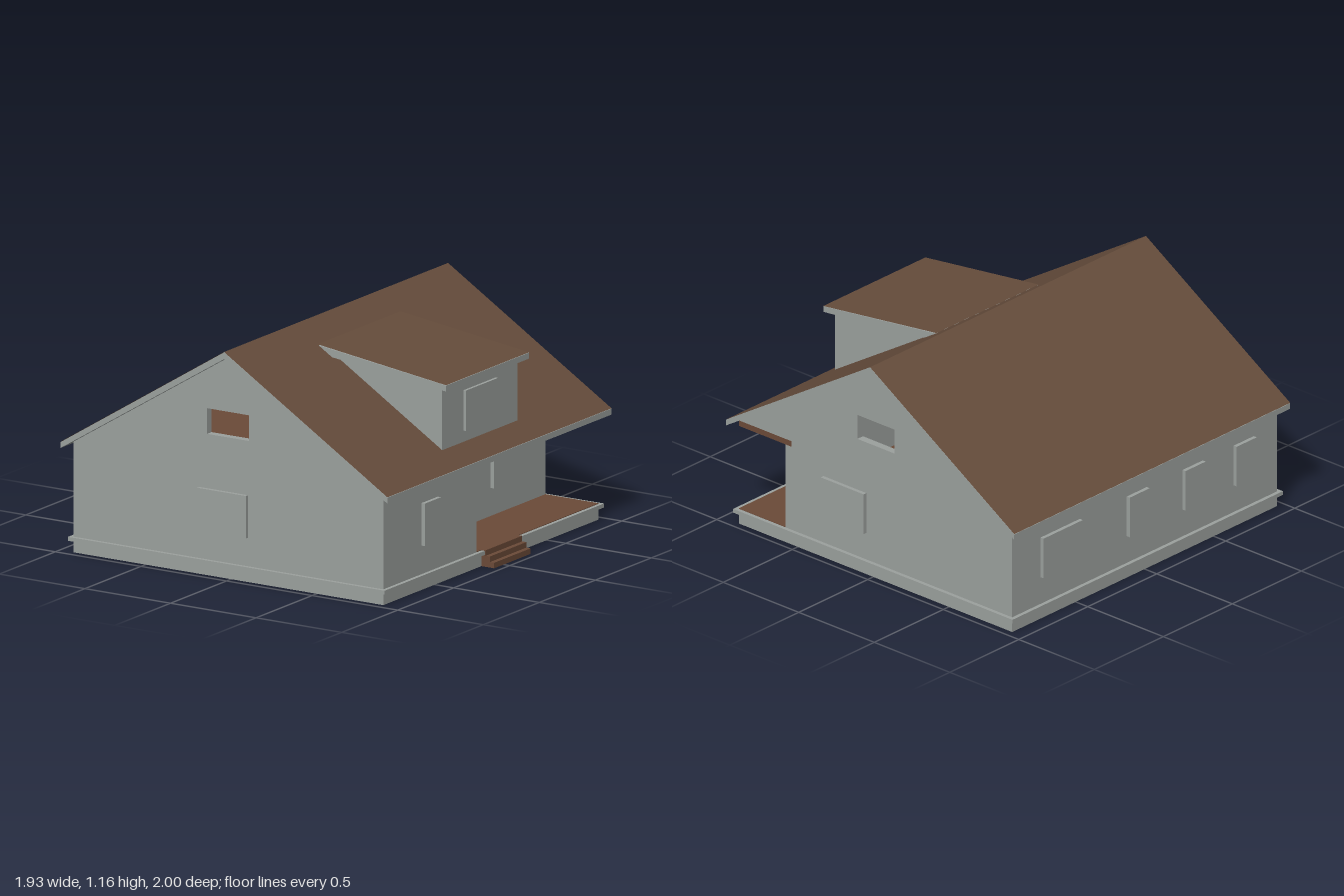
import * as THREE from 'three';

export function createModel() {
  const house = new THREE.Group();
  house.name = 'house';
  const mat = (name, color) => new THREE.MeshStandardMaterial({ name, color });
  const gray = mat('wall gray', 0x9ba09d);
  const roofBrown = mat('roof brown', 0x654c3b);
  roofBrown.side = THREE.DoubleSide;
  const wood = mat('wood brown', 0x6b4a38);

  const add = (name, geometry, material) => {
    const mesh = new THREE.Mesh(geometry, material);
    mesh.name = name;
    house.add(mesh);
    return mesh;
  };
  // box given by its limits on each axis
  const box = (name, material, x0, x1, y0, y1, z0, z1) => {
    const g = new THREE.BoxGeometry(x1 - x0, y1 - y0, z1 - z0);
    g.translate((x0 + x1) / 2, (y0 + y1) / 2, (z0 + z1) / 2);
    return add(name, g, material);
  };
  const points = (list) => list.map(([x, y]) => new THREE.Vector2(x, y));
  // profile in x and y, extruded from z0 to z1
  const prism = (name, material, outline, z0, z1, hole) => {
    const shape = new THREE.Shape(points(outline));
    if (hole) shape.holes.push(new THREE.Path(points(hole)));
    const g = new THREE.ExtrudeGeometry(shape, { depth: z1 - z0, bevelEnabled: false });
    g.translate(0, 0, z0);
    return add(name, g, material);
  };
  // sloping covering between two profile points, spanning z -half to half
  const covering = (name, [xa, ya], [xb, yb], half) => {
    const g = new THREE.PlaneGeometry(1, 1);
    const lift = 0.002;
    [[xa, ya, -half], [xb, yb, -half], [xa, ya, half], [xb, yb, half]]
      .forEach(([x, y, z], i) => g.attributes.position.setXYZ(i, x, y + lift, z));
    g.computeVertexNormals();
    return add(name, g, roofBrown);
  };

  const L = -0.92, R = 0.89, Z = 0.96, T = 0.04;
  const porchX = 0.58, porchZ = 0.13, ridge = -0.015;
  const floorY = 0.08, ceilY = 0.53, atticY = 0.56;

  // foundation, ledge and ground floor
  box('foundation', gray, L, R, 0, 0.06, -Z, Z);
  box('foundationLedge', gray, L - 0.02, R + 0.02, 0.06, floorY, -Z - 0.02, Z + 0.02);
  box('porchFloor', wood, porchX, R, floorY, floorY + 0.003, -Z, porchZ);
  box('groundFloor', wood, L + T, porchX, floorY, floorY + 0.003, -Z + T, Z - T);

  // gable walls with open attic windows
  const atticHole = [[-0.14, 0.715], [-0.14, 0.845], [0.105, 0.845], [0.105, 0.715]];
  const gableTop = [[R, 0.561], [ridge, 1.12], [L, 0.561]];
  prism('frontWall', gray, [[L, floorY], [R, floorY], ...gableTop], Z - T, Z, atticHole);
  prism('backWall', gray,
    [[L, floorY], [porchX, floorY], [porchX, atticY], [R, atticY], ...gableTop], -Z, -Z + T, atticHole);

  // side walls and the recessed porch walls around the doorway
  box('rightSideWall', gray, L, L + T, floorY, atticY, -Z + T, Z - T);
  box('leftSideWall', gray, R - T, R, floorY, atticY, porchZ, Z - T);
  box('porchEndWall', gray, porchX - T, R - T, floorY, ceilY, porchZ, porchZ + T);
  const door = { z0: -0.17, z1: 0.03, top: 0.42 };
  box('porchWall', gray, porchX - T, porchX, floorY, ceilY, -Z + T, door.z0);
  box('porchWall', gray, porchX - T, porchX, floorY, ceilY, door.z1, porchZ);
  box('doorLintel', gray, porchX - T, porchX, door.top, ceilY, door.z0, door.z1);

  // attic floor, porch ceiling and attic partition
  const slab = [wood, wood, wood, gray, wood, wood];
  box('porchCeiling', slab, porchX - T, R, ceilY, atticY, -Z, porchZ);
  box('atticFloor', slab, porchX - T, R - T, ceilY, atticY, porchZ, Z - T);
  box('atticFloor', slab, L + T, 0, ceilY, atticY, -Z + T, Z - T);
  box('atticFloor', slab, 0, porchX - T, ceilY, atticY, -Z + T, -0.085);
  box('atticFloor', slab, 0, porchX - T, ceilY, atticY, 0.03, Z - T);
  box('atticPartition', gray, 0.14, 0.165, atticY, 1.0, -Z + T, Z - T);

  // inner staircase behind the doorway
  for (let i = 0; i < 9; i++) {
    const x = 0.48 - i * 0.053;
    box('stairStep', wood, x - 0.053, x, floorY, floorY + 0.0525 * (i + 1), -0.085, 0.03);
  }

  // porch steps
  for (let i = 0; i < 3; i++) {
    box('porchStep', wood, R - 0.02, 0.965 - i * 0.025, i * 0.028, (i + 1) * 0.028, -0.24, 0.085);
  }

  // window panels, y range shared on the ground floor
  const w0 = 0.225, w1 = 0.44, out = 0.02;
  box('frontWindow', gray, -0.185, 0.1, w0, w1, Z - T - 0.01, Z + out);
  box('backWindow', gray, 0.045, 0.33, w0, w1, -Z - out, -Z + T + 0.01);
  for (const [z0, z1] of [[-0.755, -0.47], [-0.13, 0.015], [0.275, 0.42], [0.645, 0.79]]) {
    box('rightSideWindow', gray, L - out, L + T + 0.01, w0, w1, z0, z1);
  }
  box('leftSideWindow', gray, R - T - 0.01, R + out, w0, w1, 0.475, 0.62);
  box('porchWindow', gray, porchX - T - 0.01, porchX + out, w0, w1, -0.755, -0.47);

  // main roof
  const eaveL = -0.97, eaveR = 0.94;
  prism('roofSlab', gray, [
    [eaveL, 0.53], [ridge, 1.12], [eaveR, 0.53], [eaveR, 0.56], [ridge, 1.155], [eaveL, 0.56],
  ], -1, 1);
  covering('roofCoveringRight', [eaveL, 0.56], [ridge, 1.155], 1);
  covering('roofCoveringLeft', [ridge, 1.155], [eaveR, 0.56], 1);

  // dormer
  prism('dormerBody', gray, [[0.2, 1.015], [0.825, 0.625], [0.825, 0.952], [0.2, 1.027]], -0.335, 0.335);
  prism('dormerRoof', gray, [[0.12, 1.07], [0.2, 1.021], [0.87, 0.945], [0.87, 0.975]], -0.37, 0.37);
  covering('dormerCovering', [0.12, 1.072], [0.87, 0.975], 0.37);
  box('dormerWindow', gray, 0.815, 0.84, 0.69, 0.895, -0.14, 0.145);

  return house;
}
